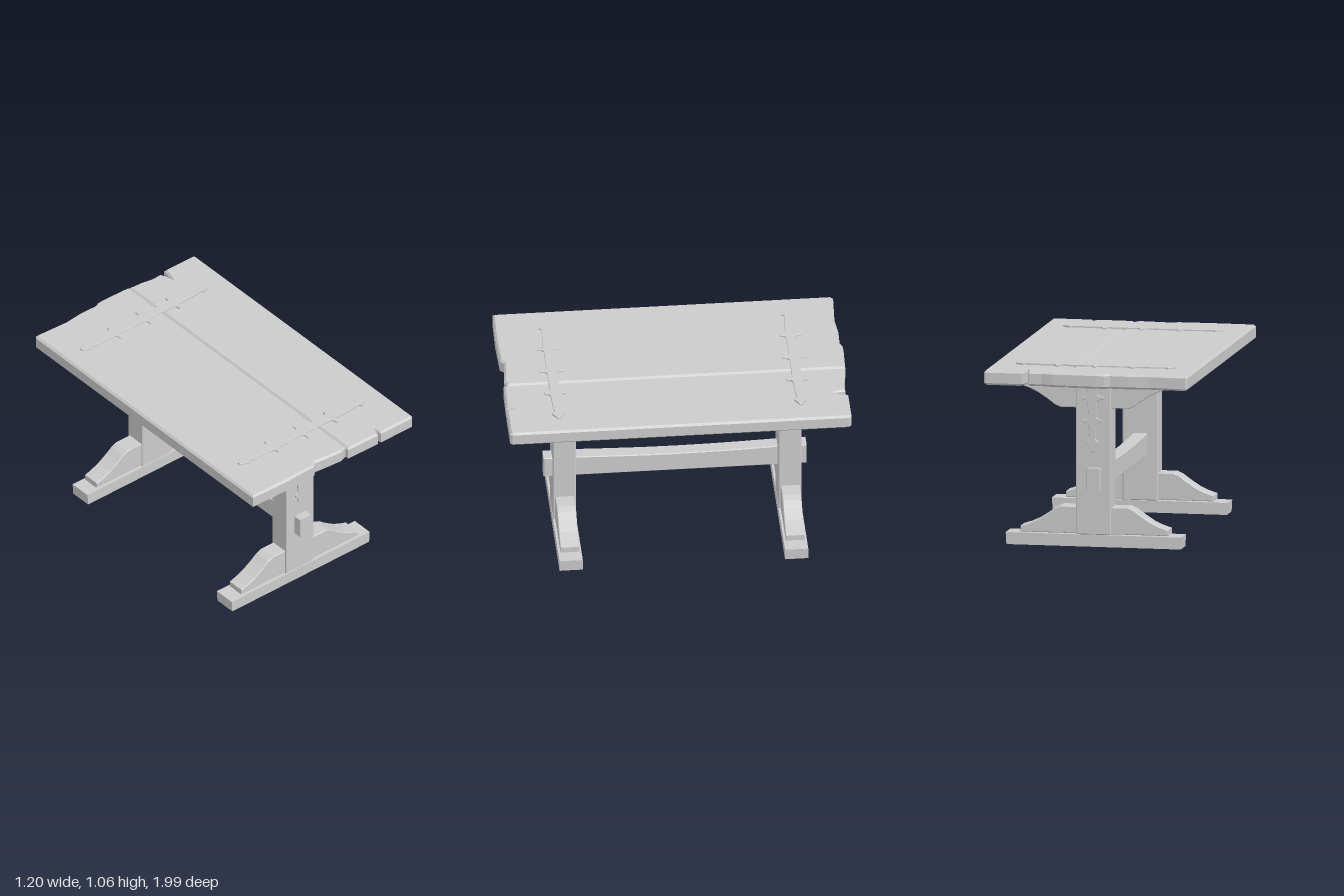
import * as THREE from 'three';

const material = new THREE.MeshStandardMaterial({ color: 0xcccccc, flatShading: true });
const openMaterial = new THREE.MeshStandardMaterial({ color: 0xcccccc, flatShading: true, side: THREE.DoubleSide });

// Extrude an outline from z = 0 to z = depth with an inset chamfer.
function extrude(points, depth, bevel) {
  const shape = new THREE.Shape(points.map(([x, y]) => new THREE.Vector2(x, y)));
  const geometry = new THREE.ExtrudeGeometry(shape, {
    depth: depth - 2 * bevel, bevelEnabled: true, bevelSegments: 1,
    bevelSize: bevel, bevelThickness: bevel, bevelOffset: -bevel,
  });
  return geometry.translate(0, 0, bevel);
}

function add(parent, name, geometry, mat = material) {
  const mesh = new THREE.Mesh(geometry, mat);
  mesh.name = name;
  parent.add(mesh);
  return mesh;
}

function rect(x0, x1, y0, y1) {
  return [[x0, y0], [x1, y0], [x1, y1], [x0, y1]];
}

// Mirror a half outline (u, v) across v = 0.
function mirrored(half) {
  return [...half, ...half.slice().reverse().map(([u, v]) => [u, -v])];
}

// Pointed spur standing out from the edge of an iron strap.
function spur(u, edge, reach) {
  return [[u - 0.024, edge], [u - 0.011, edge + 0.012], [u - 0.008, reach],
    [u + 0.008, reach], [u + 0.011, edge + 0.012], [u + 0.024, edge]];
}

// Long strap with a spearhead at each end.
function tableStrap() {
  const head = [[-0.472, 0.01], [-0.458, 0.016], [-0.425, 0.036], [-0.413, 0.02], [-0.36, 0.024]];
  const half = [...head, ...spur(-0.22, 0.028, 0.062), ...spur(0, 0.028, 0.068),
    ...spur(0.22, 0.028, 0.062), ...head.slice().reverse().map(([u, v]) => [-u, v])];
  return extrude(mirrored(half), 0.02, 0.002);
}

// Tapering strap that hangs down the outside of a post.
function postStrap() {
  const half = [[0, 0.036], ...spur(0.095, 0.029, 0.068), ...spur(0.23, 0.023, 0.056),
    [0.335, 0.017], [0.352, 0.036], [0.368, 0.034], [0.385, 0.02], [0.405, 0.016], [0.413, 0.007]];
  return extrude(mirrored(half).map(([u, v]) => [v, -u]), 0.016, 0.002);
}

// Concave bracket pair: base is the flat edge, dir is +1 upward or -1 downward.
function bracket(base, dir) {
  const side = [[0.435, 0], [0.435, 0.034], [0.385, 0.05], [0.335, 0.073],
    [0.275, 0.112], [0.235, 0.142], [0.2, 0.157]];
  const outline = [...side, ...side.slice().reverse().map(([x, h]) => [-x, h])];
  return extrude(outline.map(([x, h]) => [x, base + dir * h]), 0.11, 0.004).translate(0, 0, -0.055);
}

// Foot: a slightly flared beam, hollow and open underneath.
function foot() {
  const geometry = new THREE.BoxGeometry(1.035, 0.07, 0.135);
  const index = Array.from(geometry.index.array);
  index.splice(18, 6);
  geometry.setIndex(index);
  const p = geometry.attributes.position;
  for (let i = 0; i < p.count; i++) {
    if (p.getY(i) < 0) p.setX(i, p.getX(i) * 0.992);
  }
  return geometry.translate(-0.002, 0.035, 0);
}

function trestle() {
  const group = new THREE.Group();
  group.name = 'trestle';
  add(group, 'foot', foot(), openMaterial);
  const post = [[-0.108, 0.07], [0.1, 0.07], [0.1, 0.967], [-0.09, 0.967], [-0.108, 0.94]];
  add(group, 'post', extrude(post, 0.132, 0.005).translate(0, 0, -0.066));
  add(group, 'lowerBracket', bracket(0.074, 1));
  add(group, 'upperBracket', bracket(0.966, -1));
  add(group, 'postStrap', postStrap()).position.set(-0.008, 0.965, 0.059);
  return group;
}

// Horizontal slab whose outline is given as (x, z).
function slab(points, height) {
  return extrude(points.map(([x, z]) => [x, -z]), height, 0.012).rotateX(-Math.PI / 2);
}

export function createModel() {
  const table = new THREE.Group();
  table.name = 'trestleTable';

  // Table top in two slabs with worn, split ends
  const top = new THREE.Group();
  top.name = 'tableTop';
  table.add(top);
  add(top, 'wideBoard', slab([
    [-0.6, 0.988], [-0.36, 0.994], [-0.14, 0.988], [-0.115, 0.965], [-0.03, 0.974],
    [0.07, 0.982], [0.113, 0.965], [0.113, -0.992], [-0.06, -0.998], [-0.11, -0.996],
    [-0.145, -0.982], [-0.25, -0.985], [-0.37, -0.973], [-0.588, -0.985], [-0.6, -0.97],
  ], 0.087)).position.y = 0.964;
  add(top, 'narrowBoard', slab([
    [0.113, 0.99], [0.335, 0.994], [0.352, 0.955], [0.356, 0.994], [0.59, 0.994], [0.6, 0.98],
    [0.6, -0.97], [0.588, -0.985], [0.375, -0.985], [0.357, -0.89], [0.338, -0.972],
    [0.26, -0.97], [0.2, -0.983], [0.113, -0.988],
  ], 0.085)).position.y = 0.964;

  // Iron straps across the top
  for (const [x, z] of [[0.004, 0.7], [-0.008, -0.705]]) {
    const strap = add(top, 'tableStrap', tableStrap());
    strap.rotation.x = -Math.PI / 2;
    strap.position.set(x, 1.04, z);
  }

  // Front and rear trestles, strapped faces outward
  const front = trestle();
  front.position.z = 0.633;
  const rear = trestle();
  rear.position.z = -0.673;
  rear.rotation.y = Math.PI;
  table.add(front, rear);

  // Stretcher through both posts, its upper edge worn down in the middle
  const beam = [[-0.775, 0.333], [0.75, 0.333], [0.75, 0.463]];
  for (let i = 0; i <= 6; i++) {
    const t = i / 6;
    beam.push([0.55 - 1.13 * t, 0.462 - 0.012 * Math.sin(Math.PI * t)]);
  }
  beam.push([-0.775, 0.463]);
  add(table, 'stretcher', extrude(beam, 0.084, 0.005).rotateY(-Math.PI / 2)).position.x = 0.038;

  return table;
}
